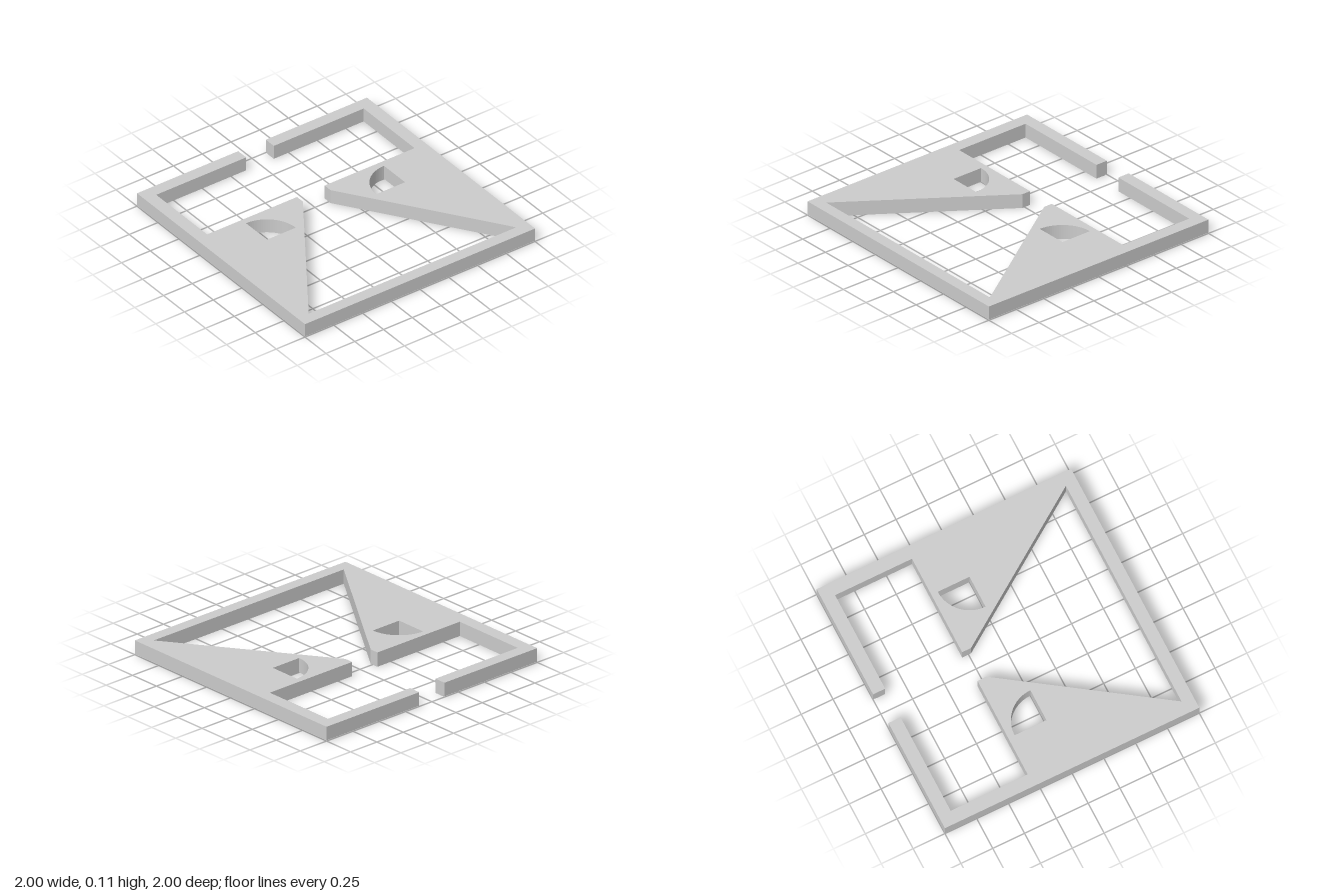
import * as THREE from 'three';

const HEIGHT = 0.11, FOOT = 0.006, FOOT_INSET = 0.015;

// Flat plan drawn as (x, -z), so that rotating it about x lays it on the ground.
function planShape(half) {
  // Right half of the outline, from the rear gap around the inside to the front bar.
  const inner = [[0.12, -0.905], [0.902, -0.905], [0.902, -0.3], [0.12, -0.3], [0.12, -0.23], [0.902, 0.91]];
  const outer = [[half, half], [half, -half], [0.12, -half]];
  const side = [...outer, ...inner];
  const mirrored = side.map(([x, z]) => [-x, z]).reverse();
  const shape = new THREE.Shape([...side, ...mirrored].map(([x, z]) => new THREE.Vector2(x, -z)));

  // Quarter-round windows, mirrored left and right.
  for (const s of [-1, 1]) {
    const pts = [new THREE.Vector2(s * 0.6, 0)];
    for (let i = 0; i <= 24; i++) {
      const a = (i / 24) * Math.PI / 2;
      pts.push(new THREE.Vector2(s * (0.6 - 0.25 * Math.cos(a)), 0.25 * Math.sin(a)));
    }
    shape.holes.push(new THREE.Path(pts));
  }
  return shape;
}

function layer(name, half, y, depth, material) {
  const geo = new THREE.ExtrudeGeometry(planShape(half), { depth, bevelEnabled: false });
  geo.rotateX(-Math.PI / 2).translate(0, y, 0);
  const mesh = new THREE.Mesh(geo, material);
  mesh.name = name;
  return mesh;
}

export function createModel() {
  const group = new THREE.Group();
  group.name = 'cutoutPlate';
  const material = new THREE.MeshStandardMaterial({ color: 0xcccccc });
  // Main plate on a very thin, slightly inset foot.
  group.add(layer('plate', 1, FOOT, HEIGHT - FOOT, material));
  group.add(layer('foot', 1 - FOOT_INSET, 0, FOOT, material));
  return group;
}
